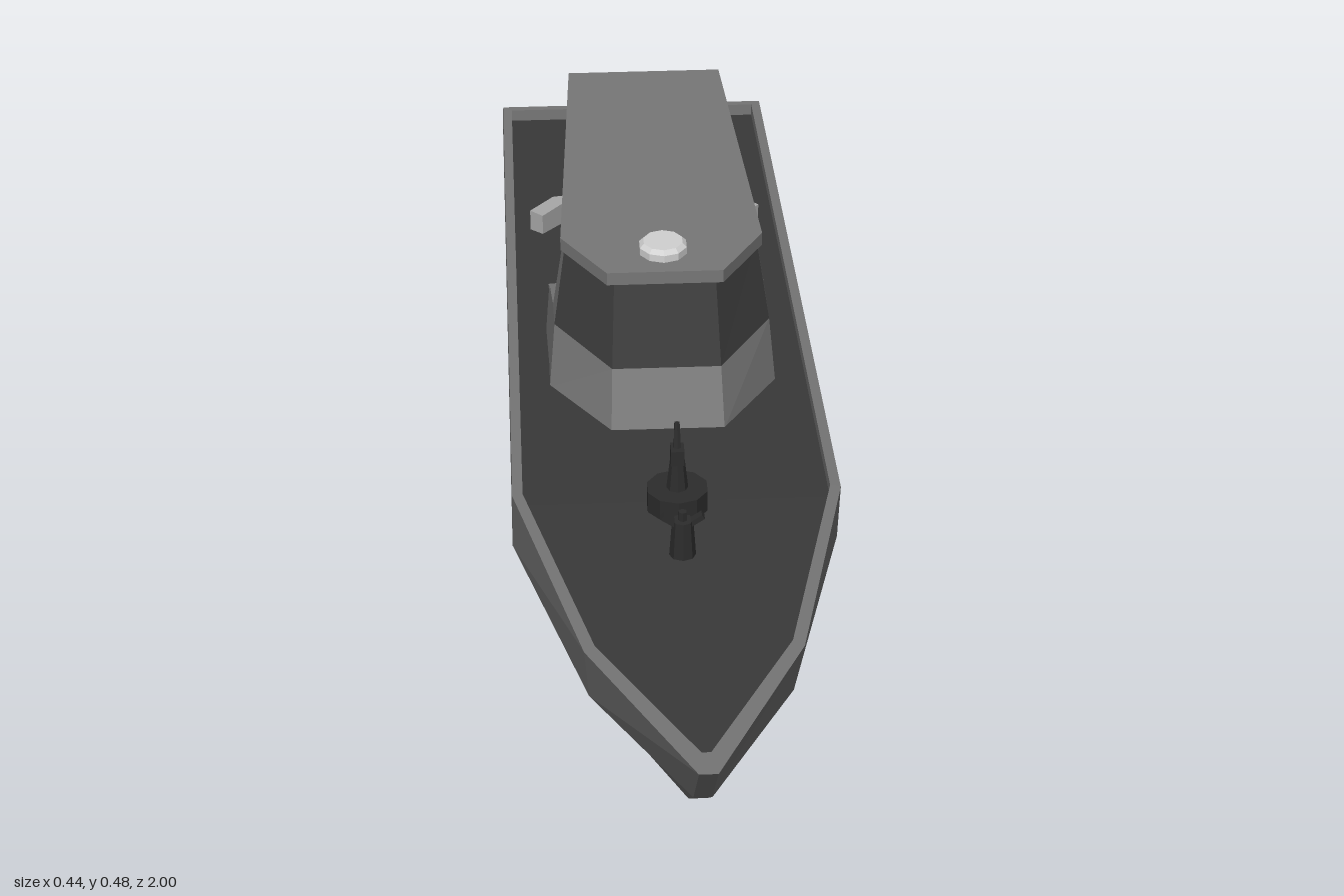
import * as THREE from 'three';

const mat = (name, color, side = THREE.FrontSide) => {
  const m = new THREE.MeshStandardMaterial({ color, side, flatShading: true });
  m.name = name;
  return m;
};

// Half outline (stern to bow, +x side) completed by its mirror image
const loop = (pts) => [...pts, ...pts.slice().reverse().map(([x, y, z]) => [-x, y, z])];

function meshFrom(name, tris, material) {
  const g = new THREE.BufferGeometry();
  g.setAttribute('position', new THREE.Float32BufferAttribute(tris.flat(), 3));
  g.computeVertexNormals();
  const m = new THREE.Mesh(g, material);
  m.name = name;
  return m;
}

// Strip of quads between two outlines; closed also joins the stern corners
function bandTris(a, b, closed = true) {
  const A = loop(a), B = loop(b), t = [];
  const n = A.length;
  for (let i = 0; i < (closed ? n : n - 1); i++) {
    const j = (i + 1) % n;
    t.push(A[i], B[j], B[i], A[i], A[j], B[j]);
  }
  return t;
}

// Surface spanning an outline from side to side
function fillTris(pts, up) {
  const t = [];
  for (let i = 0; i < pts.length - 1; i++) {
    const p = pts[i], q = pts[i + 1];
    const pm = [-p[0], p[1], p[2]], qm = [-q[0], q[1], q[2]];
    if (up) t.push(p, qm, q, p, pm, qm);
    else t.push(p, q, qm, p, qm, pm);
  }
  return t;
}

const atY = (plan, y) => plan.map(([x, z]) => [x, y, z]);
const prismTris = (plan, y0, y1) => [
  ...bandTris(atY(plan, y1), atY(plan, y0)),
  ...fillTris(atY(plan, y1), true), ...fillTris(atY(plan, y0), false),
];

export function createModel() {
  const root = new THREE.Group();
  root.name = 'patrolBoat';
  const hullGrey = mat('hullGrey', 0x777777);
  const cabinGrey = mat('cabinGrey', 0x7a7a7a, THREE.DoubleSide);
  const stripeGrey = mat('stripeGrey', 0xc0c0c0);
  const bottomBlack = mat('bottomBlack', 0x262626);
  const deckDark = mat('deckDark', 0x3a3a3a);
  const glass = mat('windowDark', 0x3c3c3c, THREE.DoubleSide);
  const seatGrey = mat('seatGrey', 0xa8a8a8);
  const domeWhite = mat('domeWhite', 0xd2d2d2);
  const gearBlack = mat('gearBlack', 0x2c2c2c);

  const add = (name, geo, material, x, y, z, parent = root) => {
    const m = new THREE.Mesh(geo, material);
    m.name = name;
    m.position.set(x, y, z);
    parent.add(m);
    return m;
  };
  const box = (name, w, h, d, material, x, y, z, parent) =>
    add(name, new THREE.BoxGeometry(w, h, d), material, x, y, z, parent);
  const cyl = (name, r1, r2, h, n, material, x, y, z, parent) =>
    add(name, new THREE.CylinderGeometry(r1, r2, h, n), material, x, y, z, parent);
  const surface = (name, tris, material) => root.add(meshFrom(name, tris, material));

  // Hull lines, stern to bow
  const sheer = [[0.2, 0.195, -0.95], [0.22, 0.285, 0.31], [0.14, 0.305, 0.71], [0.012, 0.32, 1]];
  const knuckle = [[0.2, 0.13, -1], [0.22, 0.18, 0.27], [0.132, 0.195, 0.65], [0.012, 0.205, 0.89]];
  const stripeTop = [[0.165, 0.09, -1], [0.163, 0.115, 0.25], [0.108, 0.123, 0.57], [0.012, 0.13, 0.79]];
  const stripeLow = [[0.14, 0.07, -1], [0.14, 0.095, 0.23], [0.095, 0.102, 0.53], [0.012, 0.106, 0.745]];
  const keel = [[0.012, 0, -0.95], [0.012, 0.005, 0.2], [0.012, 0.012, 0.36], [0.012, 0.02, 0.51]];
  const rim = [[0.187, 0.196, -0.937], [0.206, 0.285, 0.305], [0.126, 0.304, 0.695], [0.006, 0.317, 0.95]];
  const deckEdge = rim.map(([x, y, z]) => [x, y - 0.018, z]);

  surface('upperHull', [...bandTris(sheer, knuckle), ...bandTris(knuckle, stripeTop)], hullGrey);
  surface('waterlineStripe', bandTris(stripeTop, stripeLow), stripeGrey);
  surface('hullBottom', [...bandTris(stripeLow, keel), ...fillTris(keel, false)], bottomBlack);
  surface('gunwale', [...bandTris(rim, sheer), ...bandTris(deckEdge, rim)], hullGrey);
  surface('deck', fillTris(deckEdge, true), deckDark);

  // Cabin: solid lower wall with side coamings, then the window band
  const wallLow = [[0.158, 0.22, -0.215], [0.158, 0.22, -0.11], [0.158, 0.24, -0.04], [0.078, 0.25, 0.1]];
  const wallTop = [[0.152, 0.305, -0.215], [0.15, 0.33, -0.115], [0.15, 0.33, -0.06], [0.075, 0.33, 0.065]];
  const inset = (line) => line.map(([x, y, z], i) => [x - 0.014, y, i === 3 ? z - 0.012 : z]);
  surface('cabinWall', [
    ...bandTris(wallTop, wallLow, false),
    ...bandTris(inset(wallTop), wallTop, false),
    ...bandTris(inset(wallLow), inset(wallTop), false),
  ], cabinGrey);
  const glassLow = wallTop.slice(2);
  const glassTop = [[0.133, 0.442, -0.09], [0.07, 0.442, 0.022]];
  surface('windscreen', bandTris(glassTop, glassLow, false), glass);

  // Rear window pillars and wall ends on both sides
  for (const s of [1, -1]) {
    const side = s > 0 ? 'left' : 'right';
    const p = [[0.15, 0.33, -0.06], [0.15, 0.33, -0.115], [0.133, 0.442, -0.12], [0.133, 0.442, -0.09]]
      .map(([x, y, z]) => [s * x, y, z]);
    surface(side + 'Pillar', [p[0], p[1], p[2], p[0], p[2], p[3]], cabinGrey);
    box(side + 'WallEnd', 0.014, 0.08, 0.004, cabinGrey, s * 0.146, 0.264, -0.213);
  }
  surface('dashboard', prismTris([[0.135, -0.075], [0.135, -0.06], [0.068, 0.05]], 0.22, 0.328), cabinGrey);

  // Roof with radar dome
  surface('roof', prismTris([[0.11, -0.56], [0.14, -0.075], [0.08, 0.025]], 0.44, 0.459), hullGrey);
  cyl('radarBase', 0.034, 0.034, 0.011, 10, domeWhite, 0, 0.464, -0.033);
  cyl('radarCap', 0.028, 0.034, 0.006, 10, domeWhite, 0, 0.4725, -0.033);

  // Two seat rows, each with a pair of backrests on posts
  [[-0.318, 0.24], [-0.47, 0.23]].forEach(([z, y], i) => {
    const row = new THREE.Group();
    row.name = 'seatRow' + (i + 1);
    row.position.set(0, y, z);
    root.add(row);
    box('bench', 0.25, 0.032, 0.075, seatGrey, 0, 0, 0, row);
    box('benchPlinth', 0.22, 0.04, 0.05, seatGrey, 0, -0.025, 0, row);
    for (const x of [-0.07, 0.07]) {
      box('backrest', 0.05, 0.042, 0.01, seatGrey, x, 0.052, -0.036, row);
      box('backrestPost', 0.018, 0.03, 0.008, gearBlack, x, 0.024, -0.036, row);
    }
  });

  // Wrap-around rear bench
  const half = [[0.17, 0.545], [0.135, 0.585], [0.05, 0.6]];
  const innerHalf = [[0.045, 0.574], [0.122, 0.563], [0.152, 0.528]];
  const flip = (pts) => pts.slice().reverse().map(([x, y]) => [-x, y]);
  const benchShape = new THREE.Shape(
    [...half, ...flip(half), ...flip(innerHalf), ...innerHalf].map(([x, y]) => new THREE.Vector2(x, y)));
  const benchGeo = new THREE.ExtrudeGeometry(benchShape, { depth: 0.038, bevelEnabled: false });
  benchGeo.rotateX(-Math.PI / 2);
  add('rearBench', benchGeo, seatGrey, 0, 0.2, 0);

  // Foredeck mount: round base, pedestal and raised barrel
  const mount = new THREE.Group();
  mount.name = 'deckMount';
  mount.position.set(0, 0.265, 0.32);
  root.add(mount);
  cyl('mountBase', 0.042, 0.042, 0.034, 10, gearBlack, 0, 0.017, 0, mount);
  cyl('mountPedestal', 0.009, 0.015, 0.055, 8, gearBlack, 0, 0.058, 0, mount);
  box('mountHead', 0.018, 0.022, 0.024, gearBlack, 0, 0.085, 0, mount);
  cyl('mountBarrel', 0.004, 0.006, 0.045, 6, gearBlack, 0, 0.108, -0.004, mount).rotation.x = -0.2;

  // Mooring bitt with two angled horns
  const bitt = new THREE.Group();
  bitt.name = 'mooringBitt';
  bitt.position.set(0, 0.27, 0.445);
  root.add(bitt);
  cyl('bittPost', 0.014, 0.018, 0.058, 8, gearBlack, 0, 0.029, 0, bitt);
  cyl('bittCap', 0.006, 0.006, 0.014, 6, gearBlack, 0, 0.064, 0, bitt);
  for (const s of [1, -1])
    box('bittHorn', 0.024, 0.007, 0.012, gearBlack, s * 0.017, 0.058, 0, bitt).rotation.z = s * 0.6;

  return root;
}
